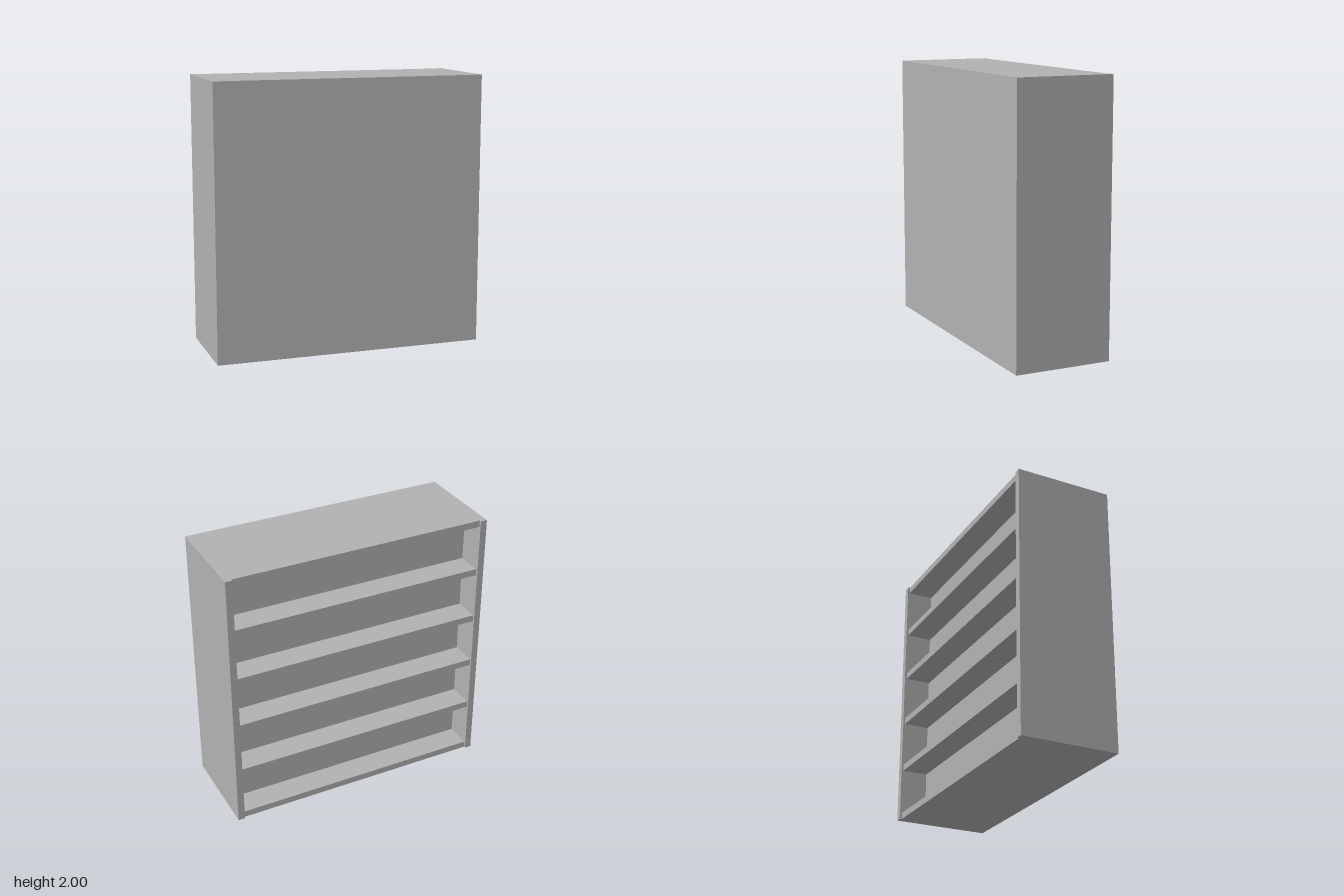
import * as THREE from 'three';

export function createModel() {
  const group = new THREE.Group();
  const grey = new THREE.MeshStandardMaterial({ color: 0xb2b2b2 });
  grey.name = 'grey';

  const W = 2, H = 2, T = 0.05;          // width, height, board thickness
  const front = 0.363, back = -0.363;    // overall depth
  const shelfBack = -0.348;              // shelves sit slightly inside the sides
  const panel = -0.155;                  // rear face of the solid body
  const inner = W - 2 * T;

  // box spanning z0..z1, centred at x, standing on y
  function board(name, w, h, z0, z1, x, y) {
    const mesh = new THREE.Mesh(new THREE.BoxGeometry(w, h, z1 - z0), grey);
    mesh.name = name;
    mesh.position.set(x, y + h / 2, (z0 + z1) / 2);
    group.add(mesh);
  }

  // side panels
  board('leftSide', T, H, back, front, W / 2 - T / 2, 0);
  board('rightSide', T, H, back, front, -W / 2 + T / 2, 0);

  // closed body behind the shelves
  board('body', inner, H, panel, front, 0, 0);

  // evenly spaced shelves, including the bottom and top boards
  const count = 6;
  for (let i = 0; i < count; i++) {
    const name = i === 0 ? 'bottomBoard' : i === count - 1 ? 'topBoard' : 'shelf' + i;
    board(name, inner, T, shelfBack, panel, 0, i * (H - T) / (count - 1));
  }
  return group;
}
